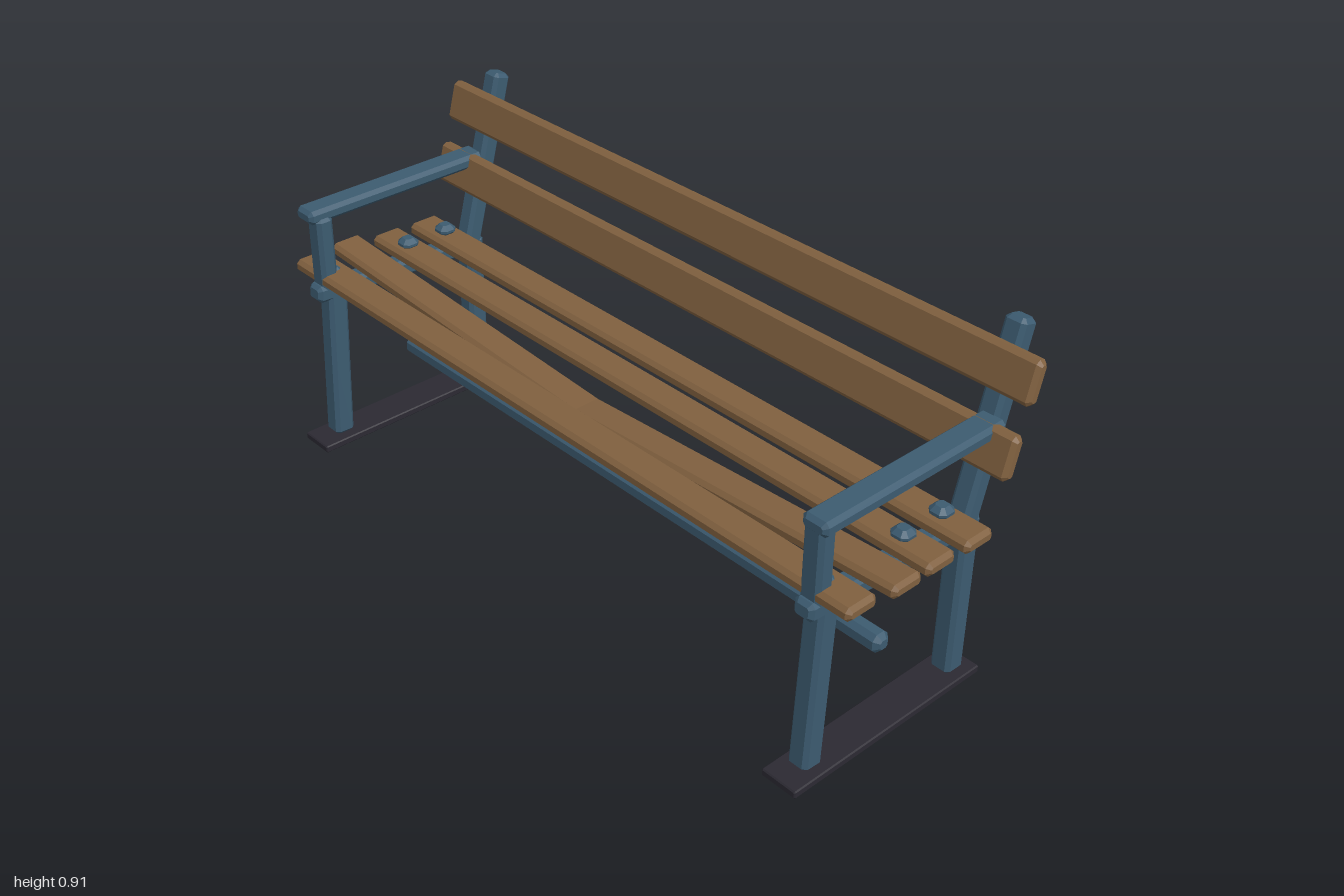
import * as THREE from 'three';

const paint = new THREE.MeshStandardMaterial({ color: 0x3c5b70 });
paint.name = 'blue paint';
const wood = new THREE.MeshStandardMaterial({ color: 0x80603f });
wood.name = 'brown wood';
const iron = new THREE.MeshStandardMaterial({ color: 0x2b2932 });
iron.name = 'dark iron';

// Chamfered bar of width w and height h, running along z and centred
function barGeometry(w, h, length, c) {
  const x = w / 2, y = h / 2;
  const shape = new THREE.Shape([
    [x - c, -y], [x, -y + c], [x, y - c], [x - c, y],
    [-x + c, y], [-x, y - c], [-x, -y + c], [-x + c, -y],
  ].map(([px, py]) => new THREE.Vector2(px, py)));
  const geo = new THREE.ExtrudeGeometry(shape, {
    depth: length - 2 * c, steps: 2, bevelEnabled: true,
    bevelThickness: c, bevelSize: c, bevelOffset: -c, bevelSegments: 1,
  });
  return geo.translate(0, 0, -length / 2 + c);
}

// Bar from point a to point b
function beam(name, a, b, w, h, material, c = 0.01) {
  const start = new THREE.Vector3(...a), end = new THREE.Vector3(...b);
  const dir = end.clone().sub(start);
  const mesh = new THREE.Mesh(barGeometry(w, h, dir.length(), c), material);
  mesh.name = name;
  mesh.position.copy(start).add(end).multiplyScalar(0.5);
  mesh.quaternion.setFromUnitVectors(new THREE.Vector3(0, 0, 1), dir.normalize());
  return mesh;
}

// Plank running along x
function slat(name, y, z, depth, height, half = 0.987) {
  return beam(name, [-half, y, z], [half, y, z], depth, height, wood);
}

export function createModel() {
  const bench = new THREE.Group();
  bench.name = 'bench';

  // Two end frames
  for (const side of [-1, 1]) {
    const frame = new THREE.Group();
    frame.name = side > 0 ? 'leftFrame' : 'rightFrame';
    const x = side * 0.878, w = 0.056, arm = side * 0.893;
    frame.add(
      beam('foot', [x, 0.01, -0.265], [x, 0.01, 0.35], 0.1, 0.02, iron, 0.003),
      beam('frontLeg', [x, 0.02, 0.269], [x, 0.465, 0.249], w, 0.058, paint),
      beam('backLeg', [x, 0.02, -0.206], [x, 0.457, -0.206], w, 0.058, paint),
      beam('seatRail', [x, 0.434, -0.215], [x, 0.464, 0.31], w, 0.047, paint),
      beam('backPost', [x, 0.425, -0.195], [x, 0.91, -0.326], w, 0.052, paint),
      beam('armPost', [x, 0.465, 0.27], [x, 0.68, 0.27], w, 0.048, paint),
      beam('armRest', [arm, 0.684, -0.255], [arm, 0.684, 0.31], 0.07, 0.038, paint),
    );
    // Bolts through the sound slats
    for (const [y, z] of [[0.51, 0.248], [0.51, 0.002], [0.508, -0.123]]) {
      frame.add(beam('bolt', [x, y - 0.018, z], [x, y + 0.013, z], 0.05, 0.05, paint, 0.012));
    }
    bench.add(frame);
  }

  // Stretcher between the frames
  bench.add(beam('stretcher', [-0.87, 0.206, 0.02], [0.87, 0.206, 0.02], 0.05, 0.05, paint, 0.013));

  // Straight seat slats
  for (const [y, z] of [[0.499, 0.248], [0.483, 0.001], [0.478, -0.124]]) {
    bench.add(slat('seatSlat', y, z, 0.09, 0.036));
  }

  // Sagging seat slat, bent down at its middle
  const sagging = slat('saggingSlat', 0.499, 0.125, 0.09, 0.036, 1);
  const pos = sagging.geometry.attributes.position;
  for (let i = 0; i < pos.count; i++) {
    pos.setY(i, pos.getY(i) - 0.056 * (1 - Math.abs(pos.getZ(i))));
  }
  sagging.geometry.computeVertexNormals();
  bench.add(sagging);

  // Back slats, leaning with the posts
  for (const [y, z] of [[0.65, -0.209], [0.816, -0.259]]) {
    const back = slat('backSlat', y, z, 0.036, 0.106);
    back.rotateZ(-0.262);
    bench.add(back);
  }
  return bench;
}
